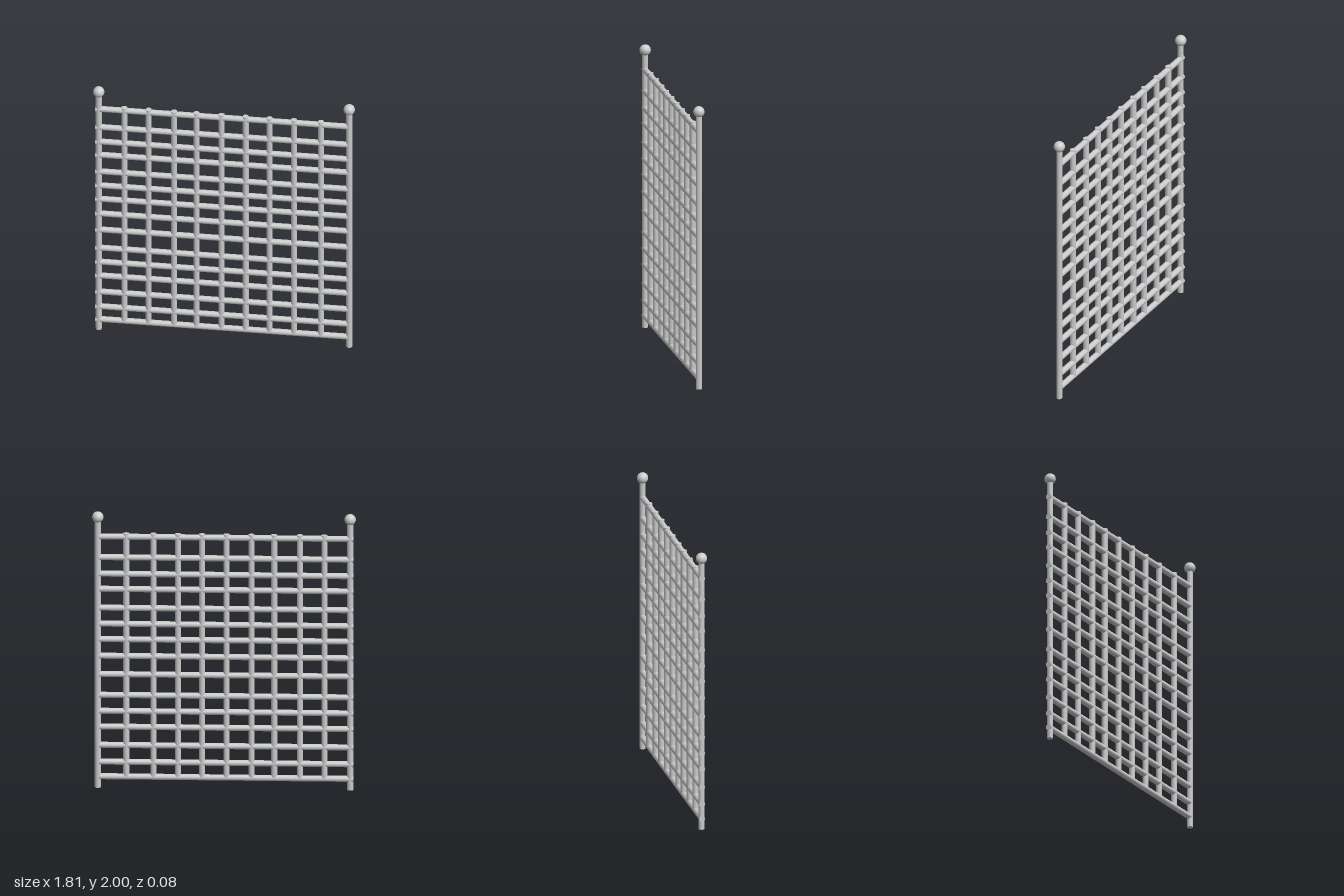
import * as THREE from 'three';

const R = 0.021;
const POST_X = 0.865;
const material = new THREE.MeshStandardMaterial({ color: 0xcccccc });

// Round bar between two values along y, centred on the origin
function bar(name, length) {
  const mesh = new THREE.Mesh(new THREE.CylinderGeometry(R, R, length, 20), material);
  mesh.name = name;
  return mesh;
}

export function createModel() {
  const model = new THREE.Group();
  model.name = 'latticePanel';

  // End posts with ball finials
  for (const [side, label] of [[1, 'left'], [-1, 'right']]) {
    const post = bar(label + 'Post', 1.96);
    post.position.set(side * POST_X, 0.98, 0);
    const ball = new THREE.Mesh(new THREE.SphereGeometry(0.039, 28, 20), material);
    ball.name = label + 'Finial';
    ball.position.set(side * POST_X, 1.961, 0);
    model.add(post, ball);
  }

  // Horizontal rails, irregularly spaced
  const railHeights = [0.079, 0.185, 0.307, 0.44, 0.554, 0.67, 0.821, 0.954,
    1.075, 1.187, 1.303, 1.44, 1.55, 1.67, 1.82];
  const railStart = -0.887, railEnd = 0.86;
  railHeights.forEach((y, i) => {
    const rail = bar('rail' + (i + 1), railEnd - railStart);
    rail.rotation.z = Math.PI / 2;
    rail.position.set((railStart + railEnd) / 2, y, 0);
    model.add(rail);
  });

  // Upright bars, from the bottom rail to just above the top rail
  const uprightX = [-0.688, -0.52, -0.344, -0.189, -0.017, 0.15, 0.315, 0.484, 0.67];
  const bottom = 0.079, top = 1.845;
  uprightX.forEach((x, i) => {
    const upright = bar('upright' + (i + 1), top - bottom);
    upright.position.set(x, (top + bottom) / 2, 0);
    model.add(upright);
  });

  return model;
}
